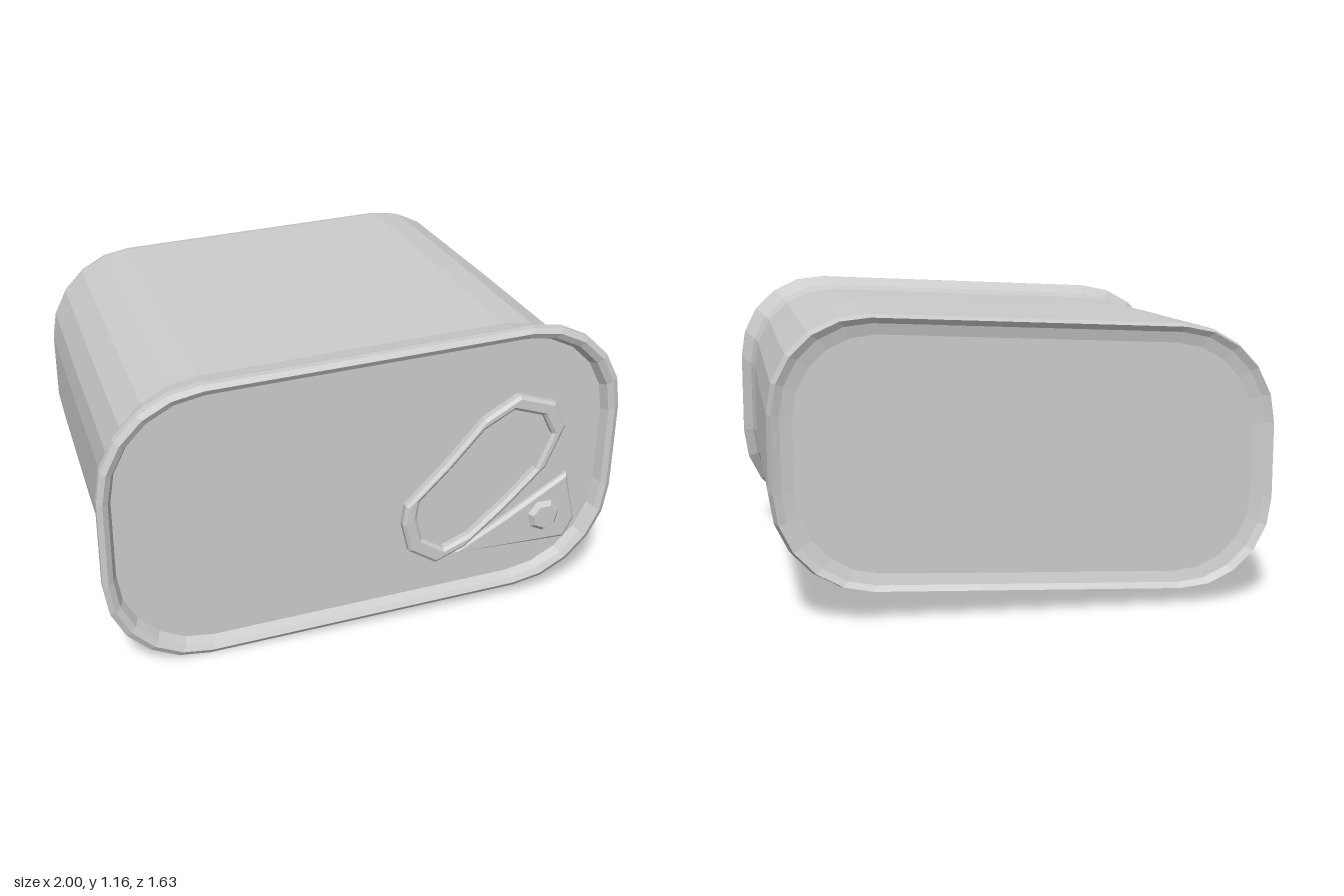
import * as THREE from 'three';

const CENTER_Y = 0.59;
const SLOPE = 0.045; // the can leans: y rises with x

const material = new THREE.MeshStandardMaterial({
  color: 0xcccccc, flatShading: true, side: THREE.DoubleSide,
});

// Rounded rectangle section, counter-clockwise seen from the front
function section([hw, hh, r, z], corner = 5, side = 3) {
  const pts = [];
  const arcs = [[1, 1], [-1, 1], [-1, -1], [1, -1]].map(([sx, sy], q) => {
    const arc = [];
    for (let i = 0; i <= corner; i++) {
      const a = (q + i / corner) * Math.PI / 2;
      arc.push([sx * (hw - r) + r * Math.cos(a), sy * (hh - r) + r * Math.sin(a)]);
    }
    return arc;
  });
  arcs.forEach((arc, q) => {
    pts.push(...arc);
    const a = arc[corner], b = arcs[(q + 1) % 4][0];
    for (let i = 1; i < side; i++) {
      const t = i / side;
      pts.push([a[0] + (b[0] - a[0]) * t, a[1] + (b[1] - a[1]) * t]);
    }
  });
  return pts.map(([x, y]) => [x, CENTER_Y + y + SLOPE * x, z]);
}

// Skin over sections running from back to front, with optional flat ends
function loft(name, sections, capBack, capFront) {
  const rings = sections.map((s) => section(s));
  const n = rings[0].length;
  const pos = rings.flat(2);
  const index = [];
  for (let k = 0; k < rings.length - 1; k++) {
    for (let i = 0; i < n; i++) {
      const a = k * n + i, b = k * n + (i + 1) % n;
      index.push(a, b, b + n, a, b + n, a + n);
    }
  }
  const cap = (k, front) => {
    const c = pos.length / 3;
    pos.push(0, CENTER_Y, sections[k][3]);
    for (let i = 0; i < n; i++) {
      const a = k * n + i, b = k * n + (i + 1) % n;
      index.push(...(front ? [c, a, b] : [c, b, a]));
    }
  };
  if (capBack) cap(0, false);
  if (capFront) cap(rings.length - 1, true);
  const geo = new THREE.BufferGeometry();
  geo.setAttribute('position', new THREE.Float32BufferAttribute(pos, 3));
  geo.setIndex(index);
  geo.computeVertexNormals();
  const mesh = new THREE.Mesh(geo, material);
  mesh.name = name;
  return mesh;
}

// Low raised plate on the lid, with an optional hole
function plate(name, outline, hole, z, depth) {
  const toVec = (pts) => pts.map(([x, y]) => new THREE.Vector2(x, y));
  const shape = new THREE.Shape(toVec(outline));
  if (hole) shape.holes.push(new THREE.Path(toVec(hole)));
  const geo = new THREE.ExtrudeGeometry(shape, {
    depth, bevelEnabled: true, bevelThickness: 0.01, bevelSize: 0.012,
    bevelOffset: -0.012, bevelSegments: 1,
  });
  const mesh = new THREE.Mesh(geo, material);
  mesh.position.z = z;
  mesh.name = name;
  return mesh;
}

export function createModel() {
  const group = new THREE.Group();
  group.name = 'tinCan';

  // Back panel, slightly sunken, and straight walls
  group.add(loft('canBody', [
    [0.85, 0.43, 0.30, -0.79],
    [0.895, 0.47, 0.33, -0.80],
    [0.925, 0.49, 0.35, -0.815],
    [0.94, 0.50, 0.36, -0.77],
    [0.945, 0.505, 0.36, 0.0],
    [0.945, 0.505, 0.36, 0.62],
    [0.96, 0.52, 0.37, 0.70],
  ], true, false));

  // Flared seam around the front
  group.add(loft('frontRim', [
    [0.96, 0.52, 0.37, 0.70],
    [1.0, 0.553, 0.38, 0.77],
    [1.0, 0.553, 0.38, 0.80],
    [0.98, 0.535, 0.37, 0.812],
    [0.96, 0.515, 0.36, 0.80],
    [0.945, 0.50, 0.35, 0.765],
  ], false, false));

  // Sunken lid
  group.add(loft('lid', [[0.945, 0.50, 0.35, 0.765]], false, true));

  // Pull ring, leaning towards the upper left corner of the can
  const ring = [
    [0.14, 0.42], [0.17, 0.30], [0.28, 0.23], [0.40, 0.28], [0.56, 0.42], [0.72, 0.58],
    [0.79, 0.75], [0.74, 0.85], [0.59, 0.90], [0.45, 0.82], [0.30, 0.65], [0.15, 0.50],
  ];
  const hole = ring.map(([x, y]) => [0.47 + (x - 0.47) * 0.83, 0.57 + (y - 0.57) * 0.83]);
  group.add(plate('pullRing', ring, hole, 0.765, 0.025));

  // Base of the pull ring
  const base = [[0.36, 0.25], [0.83, 0.24], [0.87, 0.32], [0.82, 0.53], [0.56, 0.37]];
  group.add(plate('ringBase', base, null, 0.765, 0.012));

  // Rivet
  const rivet = new THREE.Mesh(new THREE.CylinderGeometry(0.05, 0.08, 0.03, 7), material);
  rivet.rotation.x = Math.PI / 2;
  rivet.position.set(0.73, 0.36, 0.79);
  rivet.name = 'rivet';
  group.add(rivet);

  return group;
}
